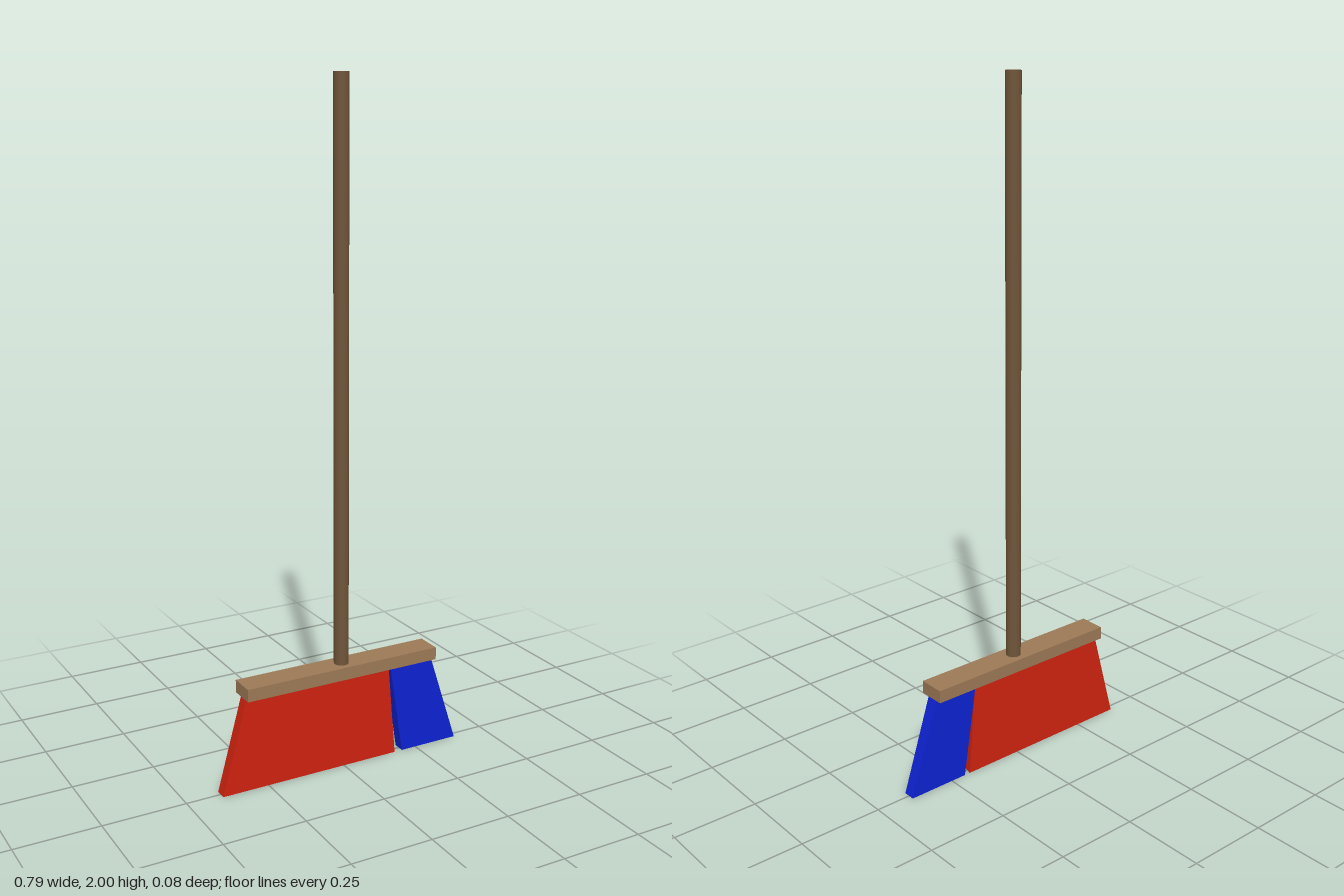
import * as THREE from 'three';

const mat = (name, color, side = THREE.FrontSide) => {
  const m = new THREE.MeshStandardMaterial({ color, side });
  m.name = name;
  return m;
};

// Box whose left and right edges slope; the right edge may differ front to back.
function bristleBlock(name, material, top, bottom, height, depth, backShift = 0) {
  const geo = new THREE.BoxGeometry(1, height, depth).toNonIndexed();
  const p = geo.attributes.position;
  for (let i = 0; i < p.count; i++) {
    const [left, right] = p.getY(i) > 0 ? top : bottom;
    const shift = p.getZ(i) < 0 ? backShift : 0;
    p.setX(i, p.getX(i) < 0 ? left : right + shift);
  }
  geo.translate(0, height / 2, 0);
  geo.computeVertexNormals();
  const mesh = new THREE.Mesh(geo, material);
  mesh.name = name;
  return mesh;
}

export function createModel() {
  const wood = mat('light wood', 0x9c7956);
  const darkWood = mat('dark wood', 0x705539, THREE.DoubleSide);
  const red = mat('red bristle', 0xcf220f);
  const blue = mat('blue bristle', 0x0d22d2);

  const broom = new THREE.Group();
  broom.name = 'broom';

  // Hollow handle, open at the top
  const handle = new THREE.Mesh(
    new THREE.CylinderGeometry(0.022, 0.022, 1.68, 16, 1, true), darkWood);
  handle.name = 'handle';
  handle.position.y = 1.16;

  // Crossbar holding the bristles
  const bar = new THREE.Mesh(new THREE.BoxGeometry(0.627, 0.038, 0.08), wood);
  bar.name = 'crossbar';
  bar.position.set(-0.0085, 0.303, 0);

  // Two flared bristle blocks with a narrow gap between them
  broom.add(handle, bar,
    bristleBlock('redBristles', red, [-0.315, 0.152], [-0.394, 0.176], 0.286, 0.036, 0.008),
    bristleBlock('blueBristles', blue, [0.158, 0.3], [0.202, 0.392], 0.286, 0.036));
  return broom;
}
